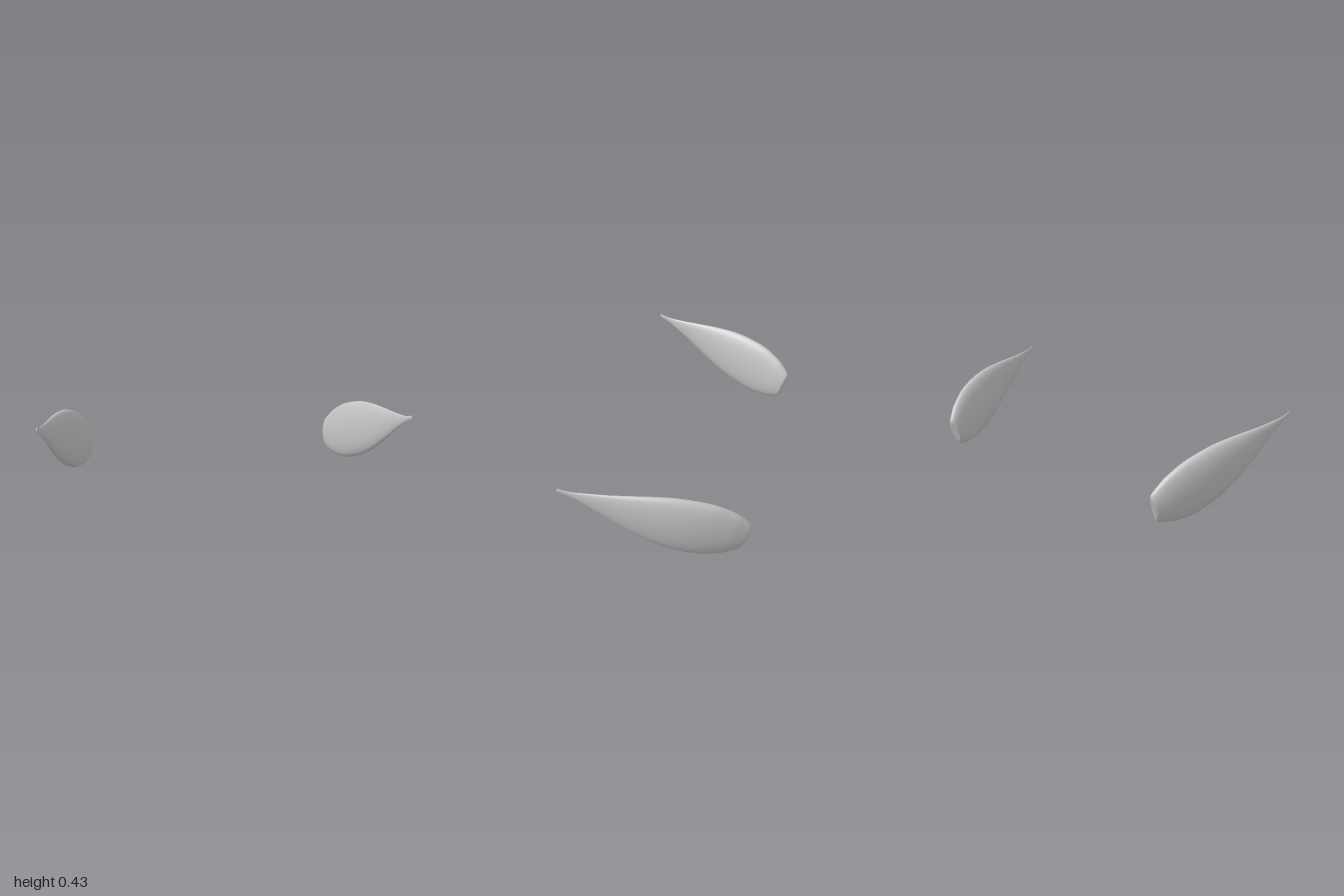
import * as THREE from 'three';
import { mergeGeometries } from 'three/addons/utils/BufferGeometryUtils.js';

// Stations along the pod: distance from tip, centre x, half thickness, half height
const STATIONS = [
  [0, 0.996, 0.003, 0.008], [0.01, 0.9955, 0.0035, 0.011], [0.067, 0.988, 0.005, 0.0155],
  [0.155, 0.974, 0.0125, 0.04], [0.25, 0.961, 0.02, 0.07], [0.344, 0.945, 0.03, 0.102],
  [0.439, 0.926, 0.04, 0.132], [0.54, 0.902, 0.049, 0.157], [0.645, 0.874, 0.0535, 0.169],
  [0.75, 0.842, 0.052, 0.168], [0.85, 0.808, 0.045, 0.144], [0.9, 0.789, 0.038, 0.119],
  [0.94, 0.774, 0.03, 0.093], [0.951, 0.77, 0.022, 0.075],
];
const TIP = new THREE.Vector3(0, 0.419, 0.459);
const ALONG = new THREE.Vector3(0, -0.333, -0.943); // sloping down to the rear
const UP = new THREE.Vector3(0, 0.943, -0.333);     // height direction of each section
const SIDES = 40, STEPS = 78;

const centreCurve = new THREE.CatmullRomCurve3(
  STATIONS.map(([s, x]) => TIP.clone().addScaledVector(ALONG, s).setX(x)), false, 'catmullrom');
const sizeCurve = new THREE.CatmullRomCurve3(
  STATIONS.map(([, , t, h]) => new THREE.Vector3(t, h, 0)), false, 'catmullrom');

// One elliptical section, square to the bent centre line
function section(u, sign) {
  const centre = centreCurve.getPoint(u), size = sizeCurve.getPoint(u);
  const across = UP.clone().cross(centreCurve.getTangent(u)).normalize();
  return Array.from({ length: SIDES }, (_, i) => {
    const a = (i / SIDES) * Math.PI * 2;
    const p = centre.clone().addScaledVector(across, Math.cos(a) * size.x)
      .addScaledVector(UP, Math.sin(a) * size.y);
    p.x *= sign;
    return p;
  });
}

// The mirrored pod needs its corner order reversed
function toGeometry(points, index, sign) {
  if (sign < 0) index.reverse();
  const g = new THREE.BufferGeometry().setFromPoints(points);
  g.setIndex(index);
  g.computeVertexNormals();
  return g;
}

// Smooth skin through all sections
function skin(sign) {
  const points = [], index = [];
  for (let j = 0; j <= STEPS; j++) points.push(...section(j / STEPS, sign));
  for (let j = 0; j < STEPS; j++) {
    for (let i = 0; i < SIDES; i++) {
      const a = j * SIDES + i, b = j * SIDES + (i + 1) % SIDES;
      index.push(a, b, a + SIDES, b, b + SIDES, a + SIDES);
    }
  }
  return toGeometry(points, index, sign);
}

// Flat end face, at the tip (u = 0) or the rear (u = 1)
function cap(u, sign) {
  const points = section(u, sign), index = [];
  const centre = centreCurve.getPoint(u);
  centre.x *= sign;
  points.push(centre);
  for (let i = 0; i < SIDES; i++) {
    const k = (i + 1) % SIDES;
    index.push(...(u === 0 ? [SIDES, k, i] : [SIDES, i, k]));
  }
  return toGeometry(points, index, sign);
}

export function createModel() {
  const model = new THREE.Group();
  model.name = 'teardropPair';
  const grey = new THREE.MeshStandardMaterial({ color: 0xc4c4c4 });
  grey.name = 'lightGrey';
  for (const sign of [1, -1]) {
    const pod = new THREE.Mesh(mergeGeometries([skin(sign), cap(0, sign), cap(1, sign)]), grey);
    pod.name = sign > 0 ? 'leftTeardrop' : 'rightTeardrop';
    model.add(pod);
  }
  return model;
}
